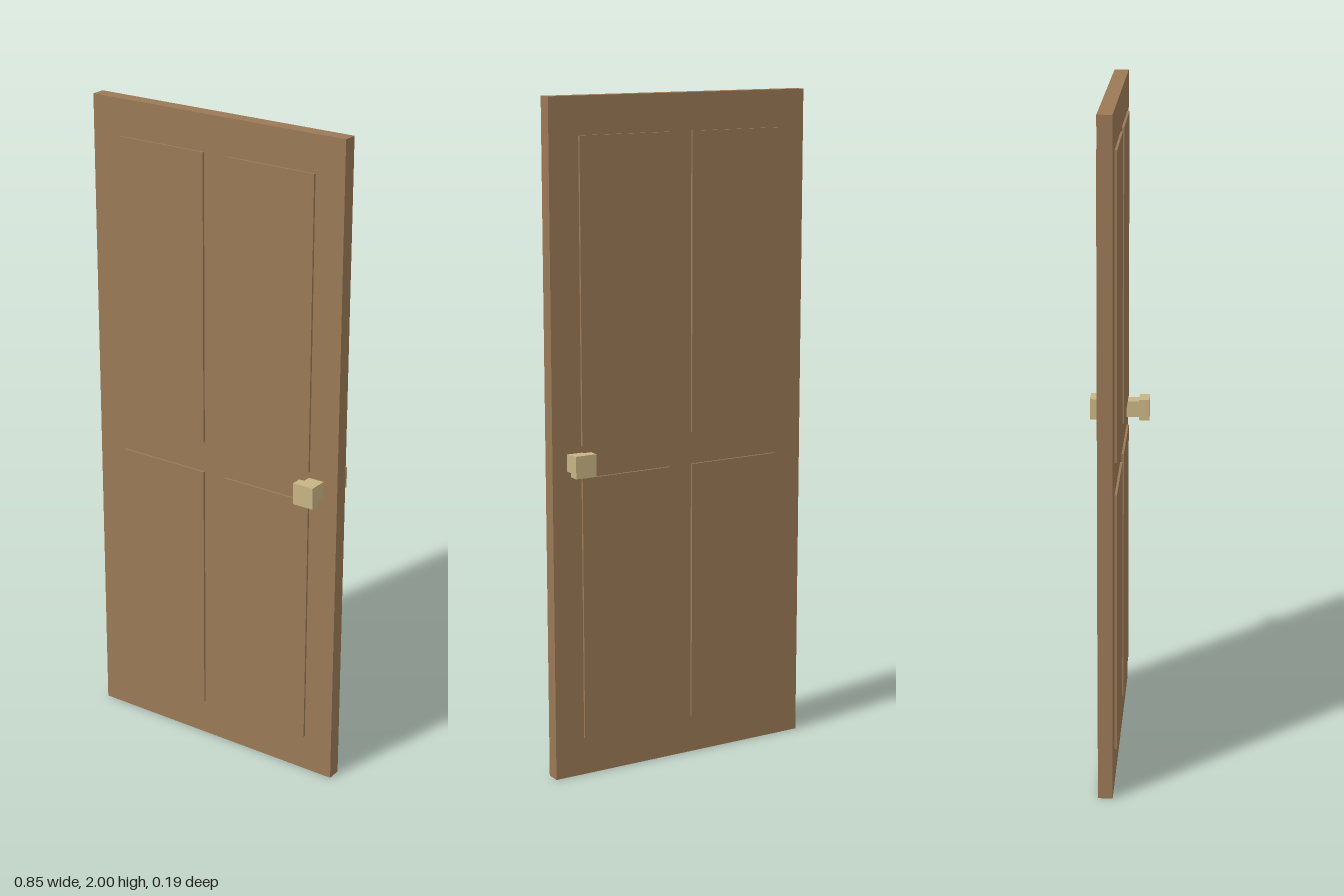
import * as THREE from 'three';

export function createModel() {
  const wood = new THREE.MeshStandardMaterial({ color: 0x9b7956 });
  wood.name = 'brown wood';
  const brass = new THREE.MeshStandardMaterial({ color: 0xc8b584 });
  brass.name = 'pale brass';

  const door = new THREE.Group();
  door.name = 'door';

  function box(name, material, w, h, d, x, y, z) {
    const mesh = new THREE.Mesh(new THREE.BoxGeometry(w, h, d), material);
    mesh.name = name;
    mesh.position.set(x, y, z);
    door.add(mesh);
  }

  // Door slab
  box('slab', wood, 0.853, 2, 0.043, 0, 1, 0);

  // Raised panels and a square knob on each face
  for (const [face, s] of [['front', 1], ['back', -1]]) {
    for (const [side, x] of [['Left', 0.185], ['Right', -0.185]]) {
      box(`${face}Upper${side}Panel`, wood, 0.295, 0.888, 0.007, x, 1.446, s * 0.025);
      box(`${face}Lower${side}Panel`, wood, 0.295, 0.792, 0.007, x, 0.51, s * 0.025);
    }
    box(`${face}KnobNeck`, brass, 0.05, 0.05, 0.041, 0.355, 0.957, s * 0.0405);
    box(`${face}Knob`, brass, 0.066, 0.066, 0.032, 0.355, 0.957, s * 0.077);
  }

  return door;
}
